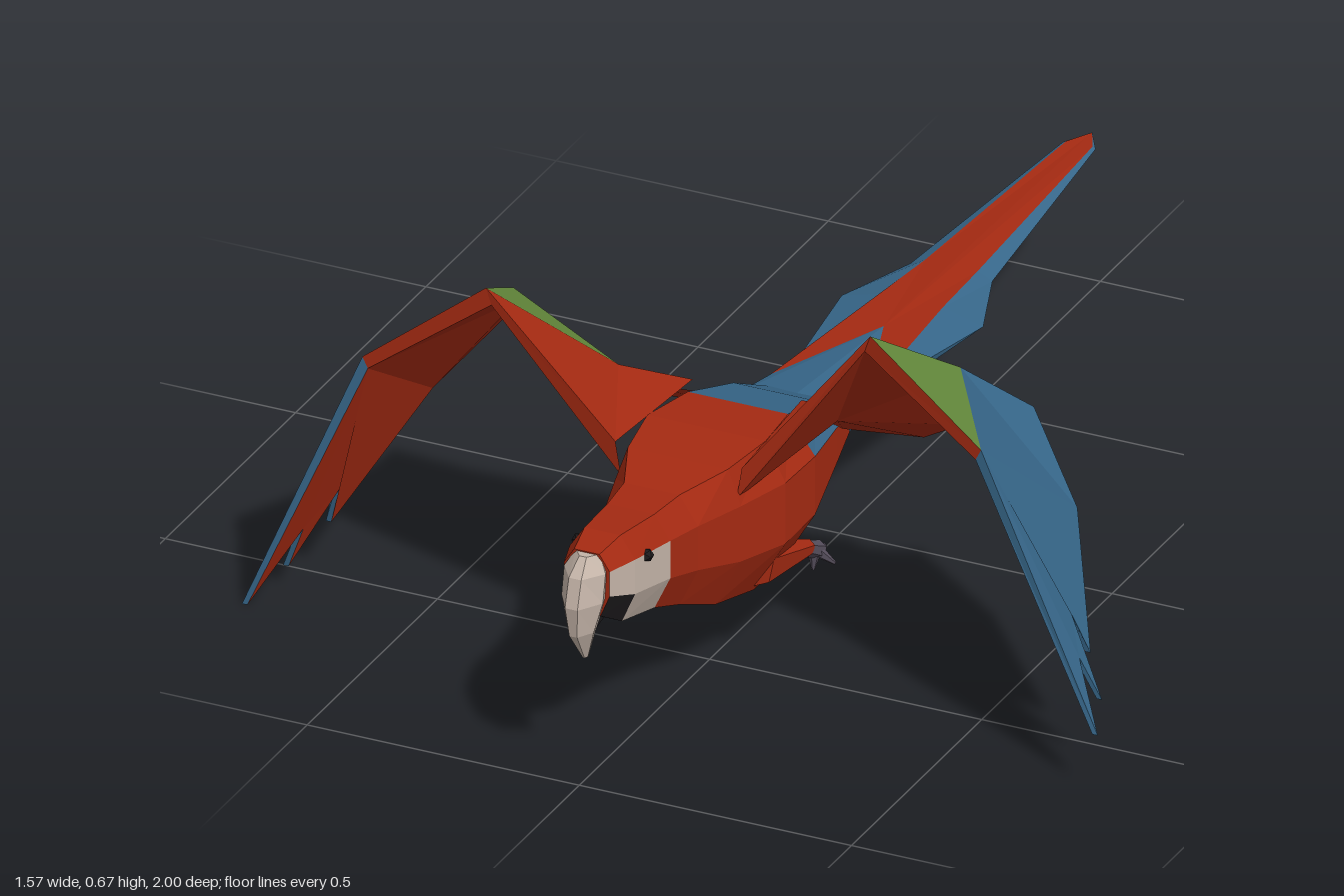
import * as THREE from 'three';

const RED = 0xa52a12, BLUE = 0x37678a, GREEN = 0x648a3c, PALE = 0xc4b4a8, DARK = 0x1c1a1c, CLAW = 0x564e5c;
const AXIS = -0.015; // the body sits slightly off centre

const material = color => new THREE.MeshStandardMaterial({ color, flatShading: true });

// Collects coloured polygons and makes one mesh per colour
function painter(name) {
  const byColor = new Map();
  return {
    add(color, pts, flip = false) {
      const p = flip ? [...pts].reverse() : pts;
      if (!byColor.has(color)) byColor.set(color, []);
      for (let i = 1; i < p.length - 1; i++) byColor.get(color).push(...p[0], ...p[i], ...p[i + 1]);
    },
    build() {
      const group = new THREE.Group();
      group.name = name;
      for (const [color, list] of byColor) {
        const geo = new THREE.BufferGeometry();
        geo.setAttribute('position', new THREE.Float32BufferAttribute(list, 3));
        geo.computeVertexNormals();
        const mesh = new THREE.Mesh(geo, material(color));
        mesh.name = name + 'Surface';
        group.add(mesh);
      }
      return group;
    },
  };
}

// Closed loft through rings of equal length; colorOf(ring, side) picks a colour
function loft(name, rings, colorOf) {
  const p = painter(name), n = rings[0].length, last = rings.length - 1;
  p.add(colorOf(0, 0), rings[0]);
  p.add(colorOf(last - 1, 0), rings[last], true);
  for (let r = 0; r < last; r++) for (let i = 0; i < n; i++) {
    const j = (i + 1) % n, a = rings[r], b = rings[r + 1];
    p.add(colorOf(r, i), [a[i], b[i], b[j], a[j]]);
  }
  return p.build();
}

// Head and body: z, half width, top, bottom, width of the top flat
function makeBody() {
  const sections = [
    [0.94, 0.042, 0.405, 0.29, 0.55], [0.88, 0.06, 0.415, 0.255, 0.55], [0.77, 0.072, 0.405, 0.23, 0.6],
    [0.69, 0.085, 0.405, 0.2, 0.6], [0.59, 0.115, 0.415, 0.157, 0.8], [0.48, 0.145, 0.42, 0.137, 0.75],
    [0.36, 0.142, 0.41, 0.138, 0.65], [0.22, 0.115, 0.365, 0.2, 0.65], [0.1, 0.085, 0.305, 0.24, 0.7],
  ];
  const rings = sections.map(([z, w, top, bot, flat]) => {
    const mid = (top + bot) / 2, h = (top - bot) / 2;
    const half = [[flat, 1], [1, 0.5], [1, -0.3], [0.6, -1]];
    const left = half.map(([x, y]) => [x * w, mid + y * h, z]);
    const right = half.map(([x, y]) => [-x * w, mid + y * h, z]);
    return [left[0], ...right, left[3], left[2], left[1]];
  });
  return loft('body', rings, (r, i) => {
    const face = i === 2 || i === 3 || i === 5 || i === 6;
    if (r === 0) return face || i === 4 ? (i === 2 || i === 6 ? PALE : DARK) : RED;
    if (r === 1) return face ? PALE : RED;
    if (r >= 6) return i === 0 || i === 1 || i === 7 ? BLUE : RED;
    return RED;
  });
}

// Hooked upper beak, lofted downward: y, half width, back z, front z
function makeBeak() {
  const rings = [[0.403, 0.022, 0.915, 0.955], [0.375, 0.038, 0.91, 0.985], [0.325, 0.038, 0.915, 1.0],
    [0.27, 0.024, 0.935, 0.992], [0.212, 0.005, 0.94, 0.952]].map(([y, w, b, f]) => [
    [w, y, (b + f) / 2], [w * 0.7, y, b], [-w * 0.7, y, b], [-w, y, (b + f) / 2], [-w * 0.3, y, f], [w * 0.3, y, f]]);
  return loft('upperBeak', rings, () => PALE);
}

// Long tail: red centre feathers over blue outer feathers
function makeTail() {
  const p = painter('tail');
  const notch = [0, 0.29, -0.2], tip = [0, 0.275, -1];
  const keel = [[0, 0.237, 0.13], [0, 0.243, -0.08], [0, 0.247, -0.31], [0, 0.258, -0.46], [0, 0.272, -0.95]];
  const edge = [[0.1, 0.275, 0.14], [0.095, 0.268, -0.06], [0.13, 0.266, -0.31], [0.075, 0.268, -0.46], [0.03, 0.274, -0.95]];
  const inner = [[0.1, 0.31, 0.16], [0.088, 0.298, 0.05], [0.056, 0.286, -0.31], [0.048, 0.281, -0.46], [0.024, 0.277, -0.95]];
  for (const s of [1, -1]) {
    const m = ([x, y, z]) => [x * s, y, z], flip = s < 0;
    const e = edge.map(m), t = inner.map(m);
    const under = keel.map((k, i) => [e[i][0] * 0.55, k[1] + 0.004, k[2]]);
    p.add(BLUE, [[0, 0.325, 0.17], t[0], t[1], notch], flip);
    p.add(RED, [notch, t[1], t[2], t[3]], flip);
    p.add(RED, [notch, t[3], t[4], tip], flip);
    p.add(BLUE, [t[4], e[4], tip], flip);
    p.add(RED, [keel[4], tip, under[4]], flip);
    p.add(BLUE, [under[4], tip, e[4]], flip);
    for (let i = 0; i < 4; i++) {
      p.add(BLUE, [t[i], e[i], e[i + 1], t[i + 1]], flip);
      p.add(BLUE, [e[i], under[i], under[i + 1], e[i + 1]], flip);
      p.add(RED, [under[i], keel[i], keel[i + 1], under[i + 1]], flip);
    }
  }
  return p.build();
}

// Wing: 0-2 leading edge, 3-7 feather tips and notches, 8-12 trailing edge, 13-15 middle
function makeWing(name, side, pts) {
  const p = painter(name), flip = side < 0;
  const thick = [0.06, 0.03, 0.02, 0, 0, 0, 0, 0, 0.006, 0.006, 0.006, 0.01, 0.012, 0.02, 0.03, 0.02];
  const low = pts.map(([x, y, z], i) => [x - side * 0.01, y - thick[i], z]);
  const faces = [
    [RED, [0, 1, 14], [0, 14, 13]],
    [GREEN, [1, 2, 15], [1, 15, 14]],
    [BLUE, [13, 14, 12], [14, 11, 12], [14, 15, 10], [14, 10, 11], [15, 9, 10], [15, 8, 9], [15, 2, 8],
      [2, 7, 8], [2, 6, 7], [2, 4, 6], [4, 5, 6], [2, 3, 4]],
  ];
  for (const [color, ...tris] of faces) for (const t of tris) {
    p.add(color, t.map(i => pts[i]), flip);
    p.add(RED, t.map(i => low[i]), !flip);
  }
  for (let i = 0; i < 12; i++) p.add(i < 2 ? RED : BLUE, [pts[i + 1], pts[i], low[i], low[i + 1]], flip);
  return p.build();
}

// Tapered low-poly limb between two points
function limb(name, a, b, ra, rb, color) {
  const from = new THREE.Vector3(...a), to = new THREE.Vector3(...b), dir = to.clone().sub(from);
  const mesh = new THREE.Mesh(new THREE.CylinderGeometry(rb, ra, dir.length(), 6), material(color));
  mesh.name = name;
  mesh.position.copy(from).add(to).multiplyScalar(0.5);
  mesh.quaternion.setFromUnitVectors(new THREE.Vector3(0, 1, 0), dir.normalize());
  return mesh;
}

export function createModel() {
  const model = new THREE.Group();
  model.name = 'parrot';
  const trunk = new THREE.Group();
  trunk.name = 'trunk';
  trunk.position.x = AXIS;
  trunk.add(makeBody(), makeBeak(), makeTail());
  trunk.add(limb('lowerBeak', [0, 0.31, 0.9], [0, 0.262, 0.945], 0.035, 0.014, DARK));

  for (const s of [1, -1]) {
    // Eye
    const eye = new THREE.Mesh(new THREE.IcosahedronGeometry(0.012, 0), material(DARK));
    eye.name = 'eye';
    eye.position.set(s * 0.063, 0.366, 0.84);
    trunk.add(eye);
    // Leg tucked backward, with toes and a hind claw
    trunk.add(limb('thigh', [s * 0.085, 0.185, 0.48], [s * 0.1, 0.135, 0.3], 0.042, 0.014, RED));
    trunk.add(limb('foot', [s * 0.1, 0.138, 0.31], [s * 0.1, 0.112, 0.262], 0.013, 0.017, CLAW));
    for (const [dx, y, z] of [[-0.028, 0.09, 0.255], [0, 0.108, 0.235], [0.028, 0.09, 0.255], [0, 0.083, 0.28]])
      trunk.add(limb('toe', [s * 0.1, 0.12, 0.275], [s * 0.1 + dx, y, z], 0.013, 0.003, CLAW));
  }
  model.add(trunk);

  // The wings are posed differently
  model.add(makeWing('leftWing', 1, [
    [0.1, 0.42, 0.585], [0.295, 0.67, 0.5], [0.525, 0.535, 0.555],
    [0.785, 0.105, 0.65], [0.715, 0.2, 0.575], [0.757, 0.13, 0.575], [0.67, 0.24, 0.51], [0.7, 0.17, 0.5],
    [0.58, 0.32, 0.3], [0.45, 0.43, 0.195], [0.33, 0.375, 0.2], [0.24, 0.315, 0.157], [0.1, 0.31, 0.175],
    [0.08, 0.415, 0.315], [0.18, 0.45, 0.365], [0.37, 0.54, 0.31]]));
  model.add(makeWing('rightWing', -1, [
    [-0.13, 0.42, 0.59], [-0.375, 0.645, 0.575], [-0.59, 0.48, 0.6],
    [-0.785, 0, 0.655], [-0.72, 0.12, 0.575], [-0.75, 0.04, 0.57], [-0.68, 0.18, 0.51], [-0.705, 0.1, 0.5],
    [-0.6, 0.3, 0.33], [-0.51, 0.41, 0.235], [-0.39, 0.375, 0.23], [-0.3, 0.3, 0.19], [-0.13, 0.31, 0.175],
    [-0.115, 0.415, 0.325], [-0.22, 0.45, 0.39], [-0.43, 0.53, 0.355]]));
  return model;
}
